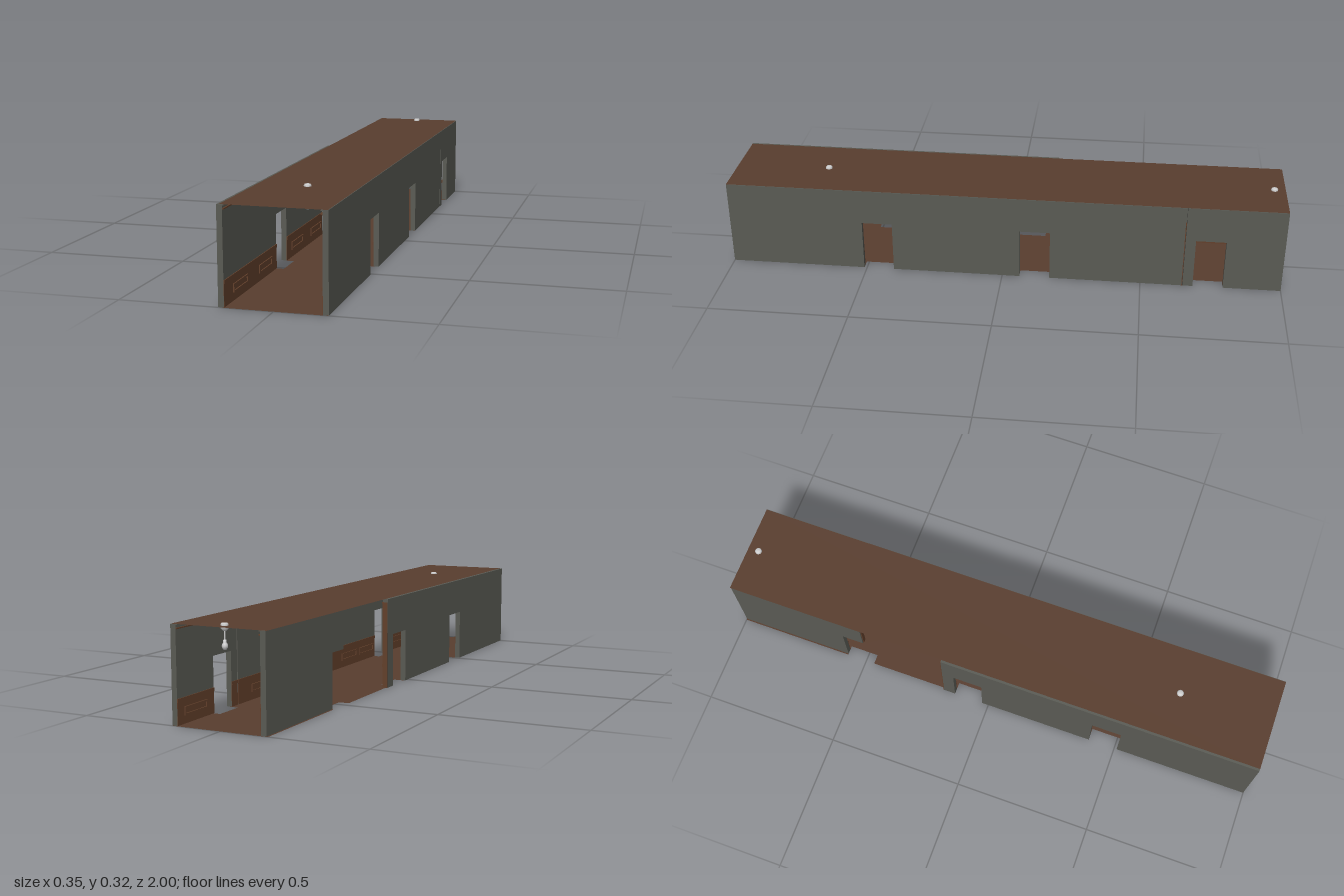
import * as THREE from 'three';

const H = 0.317, DOOR_H = 0.187, RAIL_Y = 0.085, T = 0.0185;

export function createModel() {
  const group = new THREE.Group();
  const mat = (name, color, side = THREE.FrontSide) => {
    const m = new THREE.MeshStandardMaterial({ color, side });
    m.name = name;
    return m;
  };
  const plaster = mat('grey plaster', 0x5a5b54);
  const boards = mat('brown boards', 0x593d2e, THREE.DoubleSide);
  const wood = mat('brown wood trim', 0x63402b);
  const white = mat('lamp white', 0xcfcfcf);

  const add = (name, geo, material, parent = group) => {
    const mesh = new THREE.Mesh(geo, material);
    mesh.name = name;
    parent.add(mesh);
    return mesh;
  };
  const box = (name, material, x0, x1, y0, y1, z0, z1, parent) => {
    const m = add(name, new THREE.BoxGeometry(Math.abs(x1 - x0), y1 - y0, z1 - z0), material, parent);
    m.position.set((x0 + x1) / 2, (y0 + y1) / 2, (z0 + z1) / 2);
    return m;
  };
  const outline = (pts) => new THREE.Shape(pts.map(([a, b]) => new THREE.Vector2(a, b)));
  // Extrude a (z, y) outline across x from xMax - depth to xMax
  const slab = (name, shape, xMax, depth, material, parent) => {
    const geo = new THREE.ExtrudeGeometry(shape, { depth, bevelEnabled: false });
    geo.rotateY(-Math.PI / 2);
    geo.translate(xMax, 0, 0);
    return add(name, geo, material, parent);
  };

  // One wall run; side is +1 (left, +x) or -1, inner is the distance of the room face
  function wall(name, side, inner, z0, z1, doors, panels) {
    const g = new THREE.Group();
    g.name = name;
    group.add(g);
    const base = 0.0008, top = H - 0.0008;
    const pts = [];
    let solid = [], start = z0;
    for (const [a, b] of doors) {
      if (a > z0) pts.push([z0, base]);
      pts.push([a, base], [a, DOOR_H], [b, DOOR_H]);
      if (b < z1) pts.push([b, base]);
      solid.push([start, a]);
      start = b;
    }
    if (!doors.length) pts.push([z0, base]);
    if (start < z1) {
      pts.push([z1, base]);
      solid.push([start, z1]);
    }
    pts.push([z1, top], [z0, top]);
    const clean = pts.filter((p, i) => pts.findIndex((q) => q[0] === p[0] && q[1] === p[1]) === i);
    slab('wallSlab', outline(clean), side > 0 ? inner + T : -inner, T, plaster, g);

    // Wainscot and chair rail between the doors
    const at = (d) => side * (inner - d);
    for (const [a, b] of solid) {
      box('wainscot', wood, at(0), at(0.0012), base, RAIL_Y - 0.008, a, b, g);
      box('chairRail', wood, at(0), at(0.003), RAIL_Y - 0.011, RAIL_Y, a, b, g);
    }
    // Two crown ledges
    box('crownLower', wood, at(0), at(0.005), 0.301, 0.305, z0, z1, g);
    box('crownUpper', plaster, at(0), at(0.005), 0.3135, top, z0, z1, g);

    // Raised frames on the wainscot
    for (const z of panels) {
      const rect = (w, h) => [[z - w, 0.041 - h], [z + w, 0.041 - h], [z + w, 0.041 + h], [z - w, 0.041 + h]];
      const s = outline(rect(0.064, 0.014));
      s.holes.push(outline(rect(0.057, 0.008)));
      slab('panelFrame', s, side > 0 ? inner : -inner + 0.005, 0.005, wood, g);
    }
    return g;
  }

  const L = 0.153, RF = 0.156, RB = 0.143;
  wall('leftWallFront', 1, L, -0.648, 1, [[-0.172, -0.063], [0.4, 0.51]],
    [-0.5, -0.28, 0.17, 0.32, 0.62, 0.86]);
  wall('leftWallBack', 1, L, -1, -0.652, [[-0.795, -0.688]], [-0.9]);
  wall('rightWallFront', -1, RF, -0.178, 1, [[-0.134, -0.025], [0.4, 0.51]],
    [0.06, 0.285, 0.625, 0.86]);
  wall('rightWallBack', -1, RB, -1, -0.495, [[-0.575, -0.495]], [-0.9, -0.68]);

  // Wooden caps on the wall ends beside the gap
  box('gapPost', wood, -RF - T + 0.001, -RF, 0.001, H - 0.012, -0.181, -0.178);
  box('lintelCap', wood, -RB - T + 0.004, -RB, DOOR_H, 0.305, -0.495, -0.492);

  // Flat floor, notched at each doorway, in (x, -z) coordinates
  const floor = [[-0.166, 1]];
  const notch = (edge, a, b) => {
    const inX = Math.sign(edge) * 0.13;
    floor.push([edge, a], [inX, a], [inX, b], [edge, b]);
  };
  const xl = 0.17, xr = -0.166;
  notch(xr, 0.51, 0.4);
  notch(xr, -0.025, -0.134);
  notch(xr, -0.468, -0.575);
  floor.push([xr, -1], [xl, -1]);
  notch(xl, -0.795, -0.688);
  notch(xl, -0.172, -0.063);
  notch(xl, 0.4, 0.51);
  floor.push([xl, 1]);
  const floorGeo = new THREE.ShapeGeometry(outline(floor.map(([x, z]) => [x, -z])));
  floorGeo.rotateX(-Math.PI / 2);
  add('floor', floorGeo, boards);

  // Flat ceiling
  const ceilGeo = new THREE.PlaneGeometry(0.336, 2);
  ceilGeo.rotateX(-Math.PI / 2);
  add('ceiling', ceilGeo, boards).position.set(0.002, H, 0);

  // Hanging lamps: faceted cup, thin stem, collar and bulb
  const lathe = (pts, n) => new THREE.LatheGeometry(pts.map(([r, y]) => new THREE.Vector2(r, y)), n);
  for (const z of [0.66, -0.96]) {
    const lamp = new THREE.Group();
    lamp.name = 'hangingLamp';
    lamp.position.set(0.003, 0, z);
    group.add(lamp);
    add('ceilingCup', lathe([[0, 0.3], [0.005, 0.3], [0.0125, 0.308], [0.0125, 0.321], [0.009, 0.325], [0, 0.325]], 10), white, lamp);
    add('stem', new THREE.CylinderGeometry(0.002, 0.002, 0.03, 8), white, lamp).position.y = 0.287;
    add('bulb', lathe([[0, 0.241], [0.005, 0.243], [0.009, 0.249], [0.0098, 0.255], [0.008, 0.261],
      [0.005, 0.266], [0.005, 0.273], [0, 0.274]], 14), white, lamp);
  }
  return group;
}
